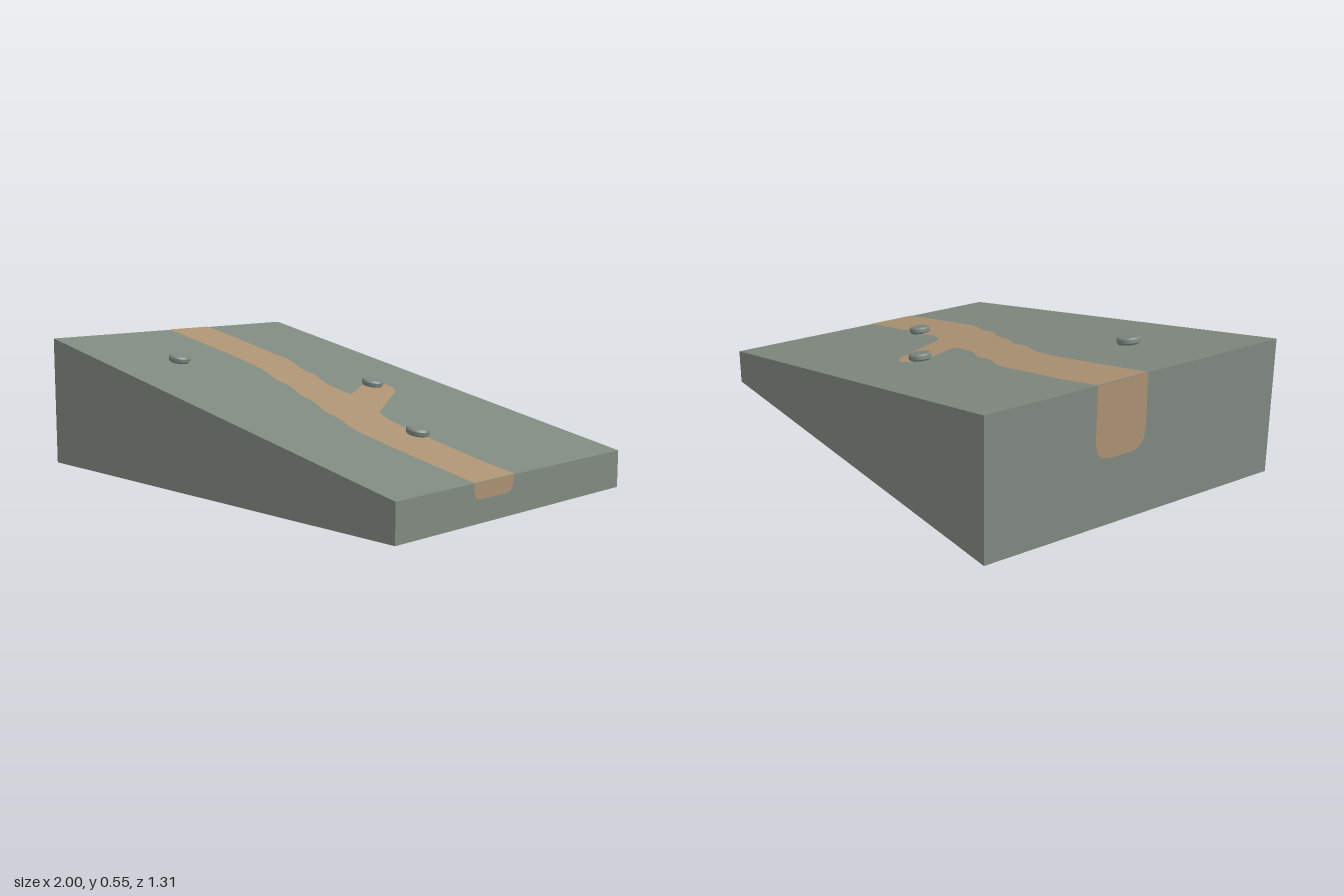
import * as THREE from 'three';
import { toCreasedNormals } from 'three/addons/utils/BufferGeometryUtils.js';

const HIGH = 0.545, LOW = 0.148, HALF_DEPTH = 0.655, LIFT = 0.002;
const SLOPE = (LOW - HIGH) / 2;
const height = (x) => (HIGH + LOW) / 2 + SLOPE * x;
const vectors = (list) => list.map(([x, y]) => new THREE.Vector2(x, y));

export function createModel() {
  const stone = new THREE.MeshStandardMaterial({ name: 'grey green stone', color: 0x808980 });
  const earth = new THREE.MeshStandardMaterial({ name: 'brown earth', color: 0xab9272 });
  const pebble = new THREE.MeshStandardMaterial({ name: 'pebble grey', color: 0x7c8780 });
  const group = new THREE.Group();
  group.name = 'slope';

  const add = (name, geometry, material) => {
    const mesh = new THREE.Mesh(geometry, material);
    mesh.name = name;
    group.add(mesh);
    return mesh;
  };

  // Sloping block
  const side = new THREE.Shape(vectors([[-1, 0], [1, 0], [1, LOW], [-1, HIGH]]));
  const block = new THREE.ExtrudeGeometry(side, { depth: 2 * HALF_DEPTH, bevelEnabled: false });
  block.translate(0, 0, -HALF_DEPTH);
  add('rampBlock', block, stone);

  // Winding path with a short branch, outlined as (x, z) and laid on the slope
  const farEdge = [[-1, -0.195], [-0.92, -0.203], [-0.8, -0.205], [-0.6, -0.2], [-0.45, -0.198],
    [-0.38, -0.185], [-0.29, -0.15], [-0.2, -0.143], [-0.09, -0.102], [0, -0.09], [0.05, -0.09],
    [0.058, -0.113], [0, -0.22], [-0.035, -0.29], [-0.02, -0.345], [0.02, -0.365], [0.07, -0.355],
    [0.11, -0.315], [0.17, -0.22], [0.24, -0.11], [0.29, -0.03], [0.35, 0], [0.42, 0.015],
    [0.6, 0.022], [0.87, 0.028], [1, 0.02]];
  const nearEdge = [[1, 0.25], [0.85, 0.253], [0.5, 0.25], [0.4, 0.24], [0.3, 0.205], [0.2, 0.193],
    [0.1, 0.15], [0, 0.135], [-0.1, 0.093], [-0.2, 0.085], [-0.3, 0.048], [-0.4, 0.03],
    [-0.55, 0.024], [-0.75, 0.025], [-1, 0.028]];
  const smooth = (edge) => new THREE.SplineCurve(vectors(edge.map(([x, z]) => [x, -z])))
    .getPoints(edge.length * 4);
  const path = new THREE.ShapeGeometry(new THREE.Shape([...smooth(farEdge), ...smooth(nearEdge)]));
  path.rotateX(-Math.PI / 2);
  const position = path.attributes.position;
  for (let i = 0; i < position.count; i++) position.setY(i, height(position.getX(i)) + LIFT);
  path.computeVertexNormals();
  add('path', path, earth);

  // Round-bottomed ends of the path, hanging down the end faces
  const pathEnd = (name, sign, z0, z1, top, bottom, r) => {
    const [a, b] = sign > 0 ? [-z1, -z0] : [z0, z1];
    const shape = new THREE.Shape();
    shape.moveTo(a, top);
    shape.lineTo(a, bottom + r);
    shape.quadraticCurveTo(a + r * 0.1, bottom, a + r, bottom);
    shape.lineTo(b - r, bottom);
    shape.quadraticCurveTo(b - r * 0.1, bottom, b, bottom + r);
    shape.lineTo(b, top);
    const geometry = new THREE.ShapeGeometry(shape);
    geometry.rotateY(sign * Math.PI / 2);
    geometry.translate(sign * (1 + LIFT), 0, 0);
    add(name, geometry, earth);
  };
  pathEnd('lowPathEnd', 1, 0.03, 0.252, LOW, 0.087, 0.04);
  pathEnd('highPathEnd', -1, -0.195, 0.028, HIGH, 0.26, 0.07);

  // Flat pebbles with bevelled rims, resting on the slope
  const profile = vectors([[0, 0], [0.04, 0], [0.046, 0.007], [0.046, 0.021], [0.04, 0.028], [0, 0.028]]);
  const pebbleShape = toCreasedNormals(new THREE.LatheGeometry(profile, 24), 0.6);
  [[-0.548, 0.325], [-0.003, -0.295], [0.543, 0.03]].forEach(([x, z], i) => {
    const mesh = add(`pebble${i + 1}`, pebbleShape, pebble);
    mesh.position.set(x, height(x), z);
    mesh.rotation.z = Math.atan(SLOPE);
  });
  return group;
}
